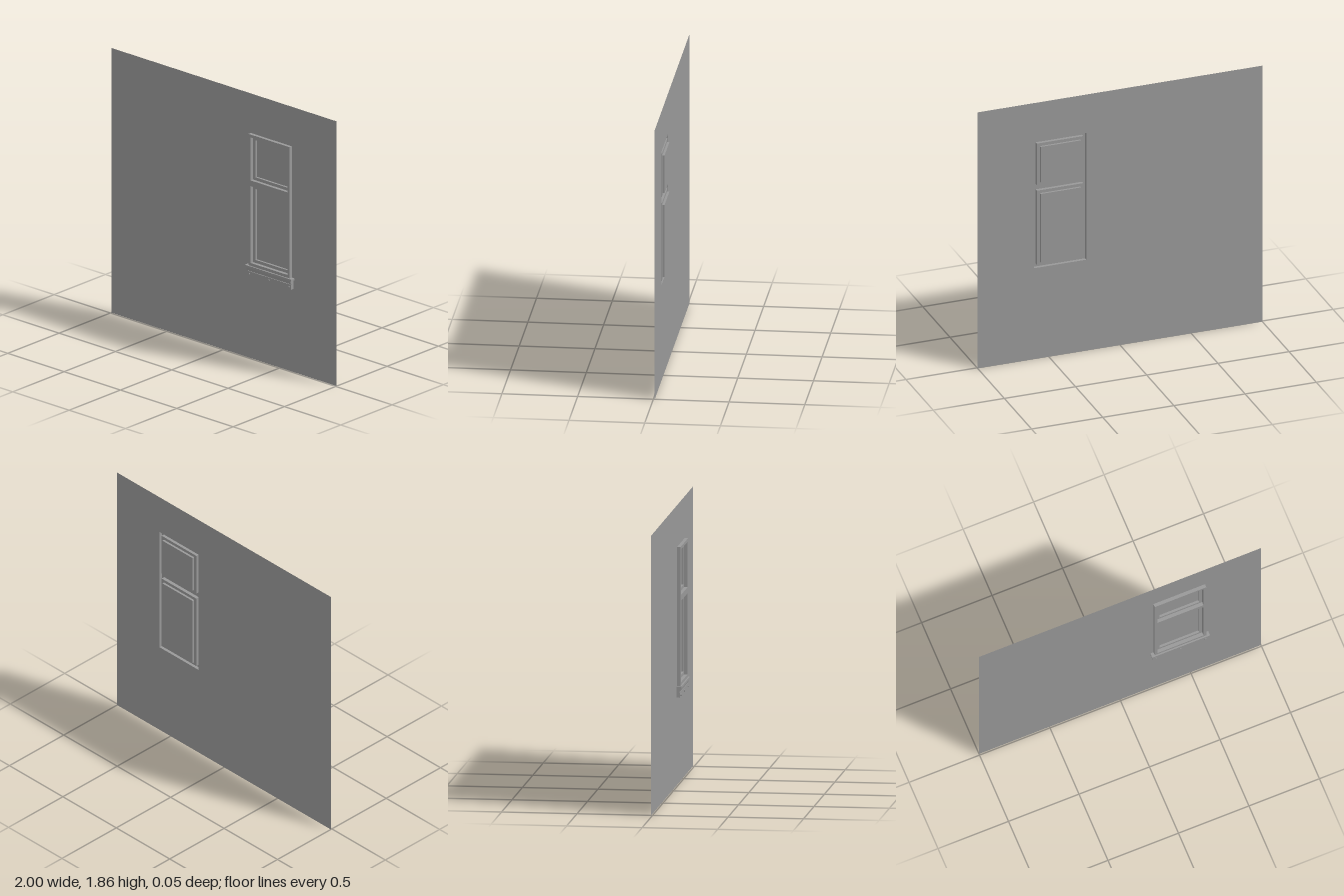
import * as THREE from 'three';

const grey = new THREE.MeshStandardMaterial({ color: 0x999999, side: THREE.DoubleSide });

const BACK = -0.009;   // wall plane and back of the casing
const FRONT = 0.014;   // front of the casing
const WIN = [0.237, 0.603, 0.66, 1.582];        // x0, x1, y0, y1 of the casing
const OPENINGS = [[0.258, 0.583, 0.68, 1.22], [0.258, 0.583, 1.26, 1.562]];
const CX = (WIN[0] + WIN[1]) / 2;

function trace(path, [x0, x1, y0, y1]) {
  path.moveTo(x0, y0);
  path.lineTo(x1, y0);
  path.lineTo(x1, y1);
  path.lineTo(x0, y1);
  path.closePath();
  return path;
}

function frameShape(outer, holes) {
  const shape = trace(new THREE.Shape(), outer);
  for (const h of holes) shape.holes.push(trace(new THREE.Path(), h));
  return shape;
}

function add(group, name, geometry, x = 0, y = 0, z = 0) {
  const mesh = new THREE.Mesh(geometry, grey);
  mesh.name = name;
  mesh.position.set(x, y, z);
  group.add(mesh);
}

const extrude = (shape, depth) =>
  new THREE.ExtrudeGeometry(shape, { depth, bevelEnabled: false });

// Extruded shell left open at the back: the back cap comes first, so skip it
function openBackShell(shape, depth) {
  const geometry = extrude(shape, depth);
  const skip = geometry.groups[0].count / 2;
  const count = geometry.attributes.position.count - skip;
  geometry.setIndex(Array.from({ length: count }, (_, i) => i + skip));
  geometry.clearGroups();
  return geometry;
}

// Box without its front face, so the pane is seen set back inside it
function trayGeometry(w, h, d) {
  const box = new THREE.BoxGeometry(w, h, d);
  const index = Array.from(box.index.array);
  index.splice(24, 6);
  box.setIndex(index);
  box.clearGroups();
  return box;
}

export function createModel() {
  const model = new THREE.Group();
  model.name = 'wallWithWindow';

  // Thin wall sheet with the window cut out
  add(model, 'wall', new THREE.ShapeGeometry(frameShape([-1, 1, 0, 1.86], [WIN])), 0, 0, BACK);

  const win = new THREE.Group();
  win.name = 'window';
  model.add(win);

  // Hollow casing with two openings
  add(win, 'casing', openBackShell(frameShape(WIN, OPENINGS), FRONT - BACK), 0, 0, BACK);

  // Each opening: a flat sash border and a pane set back behind it
  OPENINGS.forEach((o, i) => {
    const label = i ? 'upper' : 'lower';
    const b = 0.021;
    const inner = [o[0] + b, o[1] - b, o[2] + b, o[3] - b];
    add(win, label + 'Sash', new THREE.ShapeGeometry(frameShape(o, [inner])), 0, 0, BACK);
    const depth = 0.015;
    add(win, label + 'Pane',
      trayGeometry(inner[1] - inner[0], inner[3] - inner[2], depth),
      (inner[0] + inner[1]) / 2, (inner[2] + inner[3]) / 2, BACK - depth / 2);
  });

  // Sill parts: [z, y] profiles run along x
  const sill = new THREE.Group();
  sill.name = 'sill';
  model.add(sill);
  const run = (name, profile, width) => {
    const shape = new THREE.Shape(profile.map(([z, y]) => new THREE.Vector2(-z, y)));
    const geometry = extrude(shape, width);
    geometry.rotateY(Math.PI / 2);
    geometry.translate(CX - width / 2, 0, 0);
    add(sill, name, geometry);
  };
  run('sillBoard', [[BACK, 0.646], [0.024, 0.646], [0.024, 0.66], [BACK, 0.66]], 0.411);
  // Apron with a narrow groove below the sloping moulding
  run('apron', [[BACK, 0.583], [FRONT, 0.583], [FRONT, 0.619], [0.009, 0.619],
    [0.009, 0.624], [0.015, 0.624], [0.02, 0.646], [BACK, 0.646]], 0.391);

  // Round studs on the apron
  const stud = new THREE.CylinderGeometry(0.007, 0.007, 0.007, 8);
  stud.rotateX(Math.PI / 2);
  for (const dx of [-0.176, 0, 0.176]) add(sill, 'stud', stud, CX + dx, 0.6, FRONT + 0.002);

  return model;
}
